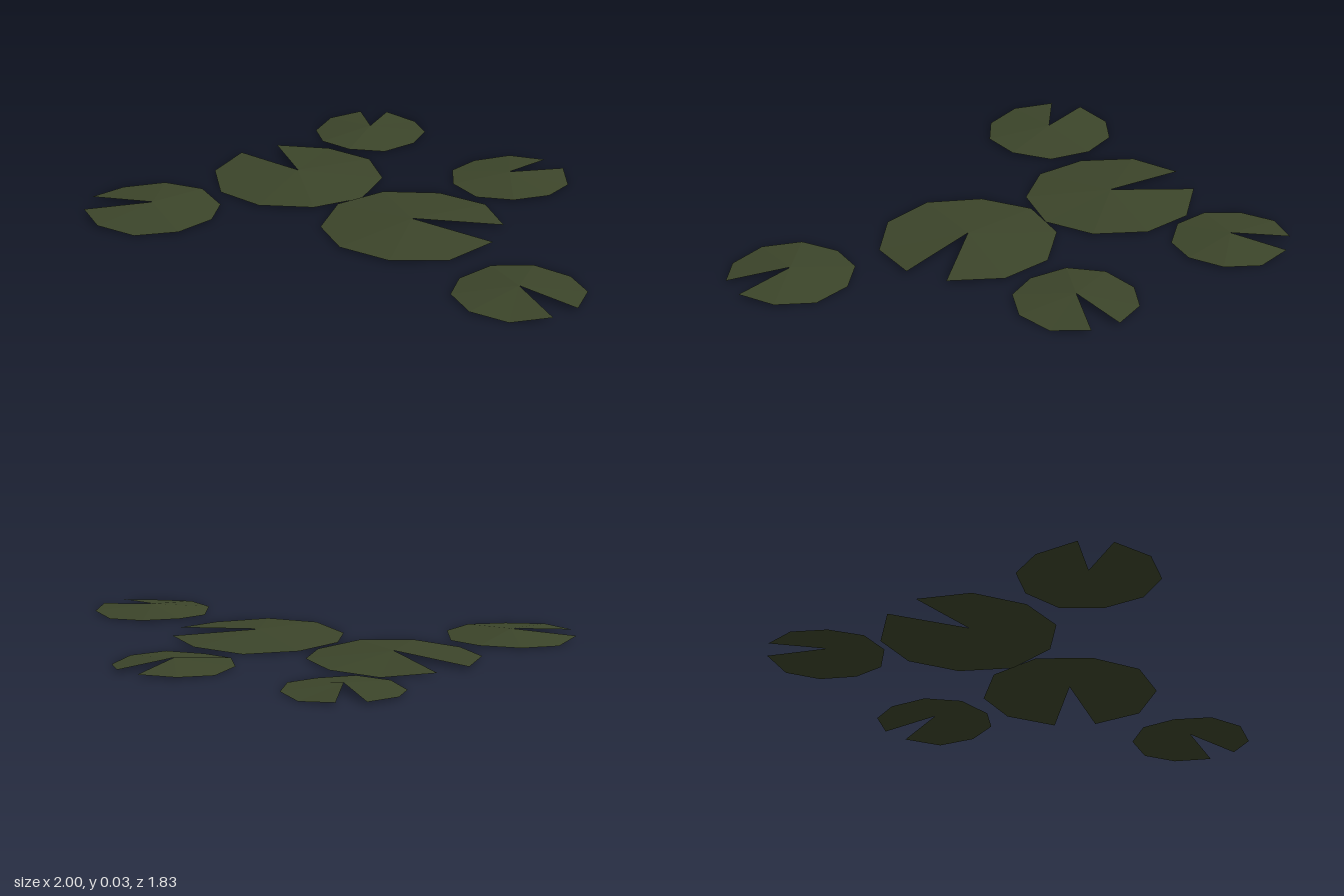
import * as THREE from 'three';

const NOTCH = 0.49; // opening angle of the slit, radians
const SEGMENTS = 9;

// Shallow faceted cone with a slit, slightly wavy rim and raised slit tips
function padGeometry(radius, notchDegrees) {
  const start = -THREE.MathUtils.degToRad(notchDegrees) + NOTCH / 2;
  const geometry = new THREE.CircleGeometry(radius, SEGMENTS, start, Math.PI * 2 - NOTCH);
  geometry.rotateX(-Math.PI / 2);
  const position = geometry.attributes.position;
  position.setY(0, 0.03);
  for (let i = 0; i <= SEGMENTS; i++) {
    const tip = i === 0 || i === SEGMENTS;
    position.setY(i + 1, tip ? 0.011 : 0.004 + 0.004 * Math.sin(i * 2.2));
  }
  const flat = geometry.toNonIndexed();
  flat.computeVertexNormals();
  return flat;
}

export function createModel() {
  const group = new THREE.Group();
  group.name = 'lilyPads';

  const leafGreen = new THREE.MeshStandardMaterial({
    color: 0x3c452a, flatShading: true, side: THREE.DoubleSide,
  });
  leafGreen.name = 'leafGreen';

  // x, z, radius, direction of the slit in degrees from +x towards +z
  const pads = [
    [0.246, 0.206, 0.343, -0.4],
    [-0.321, -0.131, 0.335, -137.7],
    [-0.195, -0.691, 0.228, -103.5],
    [0.481, -0.361, 0.235, -52.7],
    [-0.743, 0.345, 0.26, 170.7],
    [0.77, 0.671, 0.241, 33.5],
  ];
  pads.forEach(([x, z, radius, notch], i) => {
    const pad = new THREE.Mesh(padGeometry(radius, notch), leafGreen);
    pad.name = `lilyPad${i + 1}`;
    pad.position.set(x, 0, z);
    group.add(pad);
  });

  return group;
}
